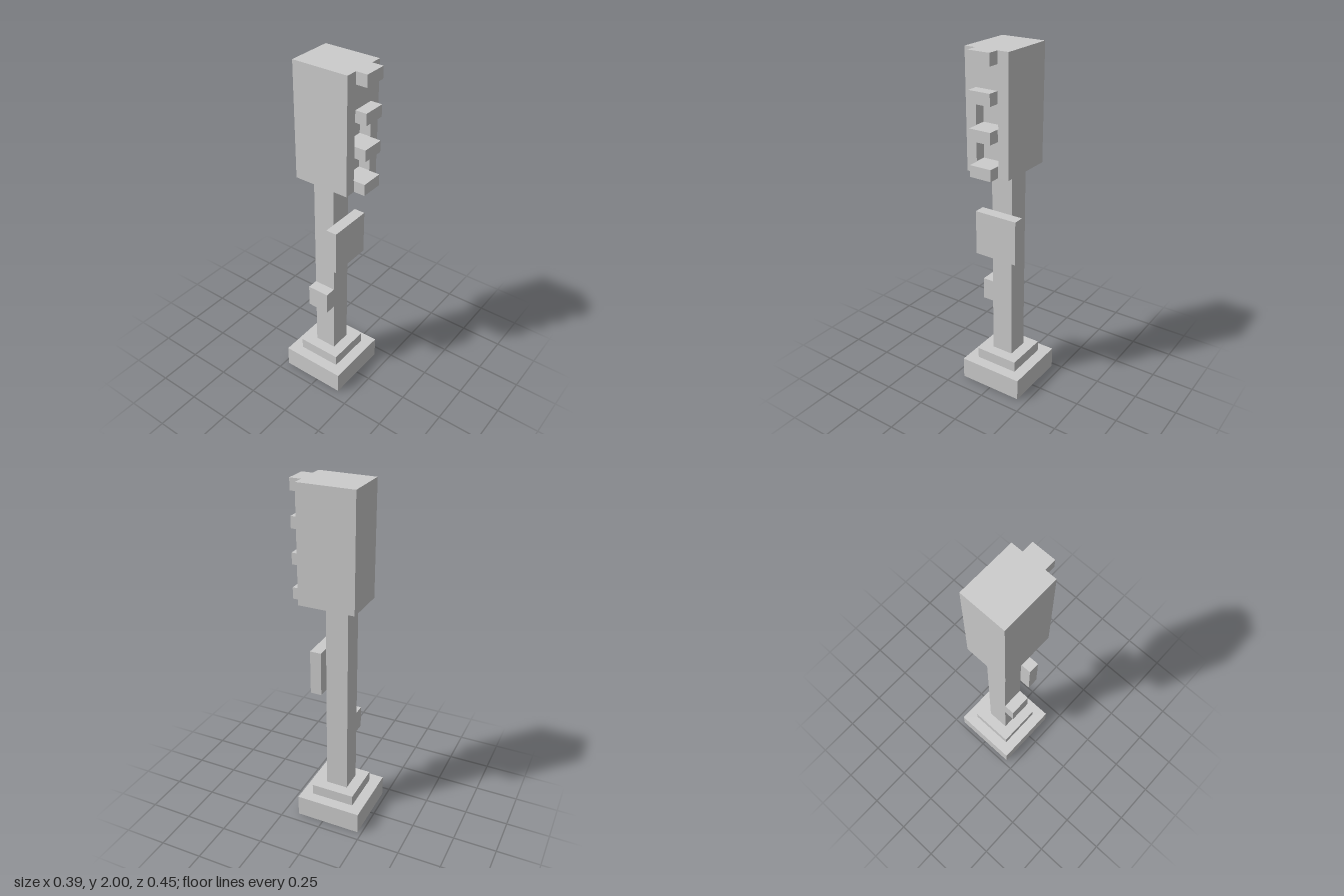
import * as THREE from 'three';

// Everything sits on a small block grid: 31 blocks make the full height.
const U = 2 / 31;

export function createModel() {
  const model = new THREE.Group();
  model.name = 'trafficLight';
  const material = new THREE.MeshStandardMaterial({ color: 0xcccccc, flatShading: true });

  function add(name, geometry, parent = model) {
    const mesh = new THREE.Mesh(geometry, material);
    mesh.name = name;
    parent.add(mesh);
    return mesh;
  }

  // Box given by its lower and upper limits in blocks.
  function block(name, [x0, x1], [y0, y1], [z0, z1], parent = model) {
    const geometry = new THREE.BoxGeometry((x1 - x0) * U, (y1 - y0) * U, (z1 - z0) * U);
    const mesh = add(name, geometry, parent);
    mesh.position.set((x0 + x1) / 2 * U, (y0 + y1) / 2 * U, (z0 + z1) / 2 * U);
    return mesh;
  }

  function rectangle(path, x0, x1, y0, y1) {
    path.moveTo(x0 * U, y0 * U);
    path.lineTo(x1 * U, y0 * U);
    path.lineTo(x1 * U, y1 * U);
    path.lineTo(x0 * U, y1 * U);
    path.closePath();
    return path;
  }

  // Stepped foot and post
  block('base', [-3, 3], [0, 2], [-3.5, 2.5]);
  block('plinth', [-2, 2], [2, 3], [-2.5, 1.5]);
  block('post', [-1, 1], [3, 21], [-1.5, 0.5]);

  // Fittings on the post
  block('signPlate', [-2, 2], [13, 17], [0.5, 1.5]);
  block('buttonBox', [-2, -1], [8, 10], [-1.5, 0.5]);

  // Lamp housing: solid back and a front plate with two recessed lamps
  const head = new THREE.Group();
  head.name = 'lampHousing';
  model.add(head);
  block('housingBack', [-2, 2], [21, 31], [-2.5, 1.5], head);

  const face = rectangle(new THREE.Shape(), -2, 2, 21, 31);
  for (const y of [22, 25]) {
    face.holes.push(rectangle(new THREE.Path(), -1.05, 1.05, y, y + 2));
  }
  const plate = new THREE.ExtrudeGeometry(face, { depth: U, bevelEnabled: false });
  add('housingFace', plate, head).position.z = 1.5 * U;

  // Visors above and below each lamp
  for (const y of [21, 24, 27, 30]) {
    block('visor', [-1, 1], [y, y + 1], [2.5, 3.5], head);
  }

  return model;
}
